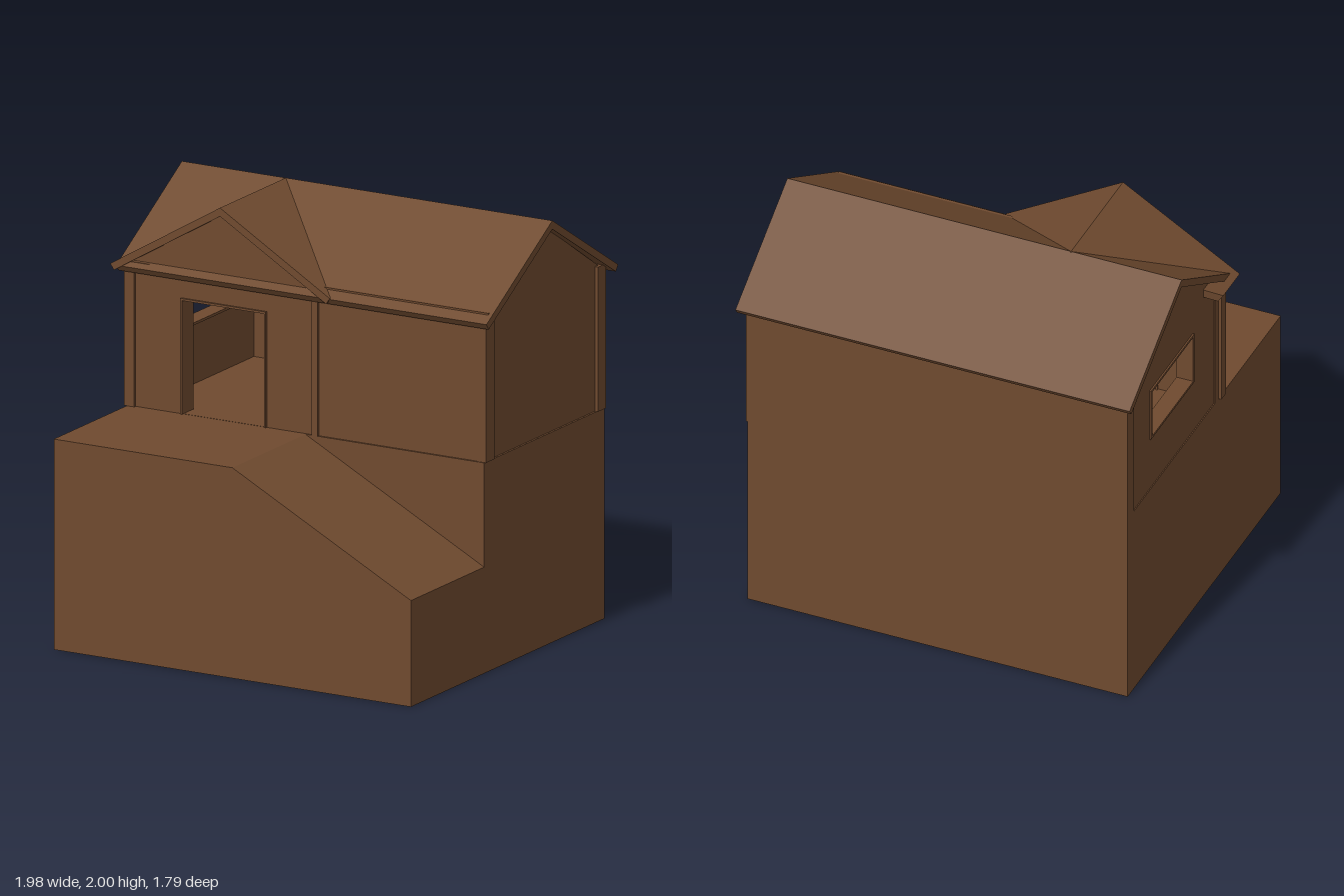
import * as THREE from 'three';

const timber = new THREE.MeshStandardMaterial({ color: 0x6f4a2f });
timber.name = 'brown timber';

const RIDGE_Y = 2, RIDGE_Z = -0.305, PORCH_X = -0.413, PITCH = 0.595, FLOOR = 0.99;

export function createModel() {
  const model = new THREE.Group();
  model.name = 'hillsideHouse';

  const add = (name, geometry) => {
    const mesh = new THREE.Mesh(geometry, timber);
    mesh.name = name;
    model.add(mesh);
    return mesh;
  };
  // box given by its minimum and maximum on each axis
  const box = (name, x0, x1, y0, y1, z0, z1) =>
    add(name, new THREE.BoxGeometry(x1 - x0, y1 - y0, z1 - z0)
      .translate((x0 + x1) / 2, (y0 + y1) / 2, (z0 + z1) / 2));
  const outline = (points) => new THREE.Shape(points.map(([x, y]) => new THREE.Vector2(x, y)));
  const rectHole = (x0, x1, y0, y1) => new THREE.Path([[x0, y0], [x0, y1], [x1, y1], [x1, y0]]
    .map(([x, y]) => new THREE.Vector2(x, y)));
  const slab = (shape, depth) => new THREE.ExtrudeGeometry(shape, { depth, bevelEnabled: false });
  // chevron roof section, centred on the ridge
  const roofSection = (half) => {
    const top = RIDGE_Y - half * PITCH, inner = half - 0.02;
    const low = RIDGE_Y - 0.04 - inner * PITCH;
    return outline([[-half, top], [-inner, low], [0, RIDGE_Y - 0.04], [inner, low], [half, top], [0, RIDGE_Y]]);
  };

  // ground block and sloping terrace
  box('groundBlock', -0.92, 0.96, 0, FLOOR, -0.82, 0.25);
  add('slopedTerrace', slab(outline([[-0.92, 0], [0.96, 0], [0.96, 0.5], [0.02, FLOOR], [-0.92, FLOOR]]), 0.65))
    .position.z = 0.25;

  // front wall with doorway, running up into the porch gable
  const underRoof = RIDGE_Y - 0.035;
  const gableFoot = (underRoof - 1.655) / PITCH;
  const front = outline([[-0.92, FLOOR], [0.955, FLOOR], [0.955, 1.655], [PORCH_X + gableFoot, 1.655],
    [PORCH_X, underRoof], [-0.92, underRoof - (PORCH_X + 0.92) * PITCH]]);
  front.holes.push(rectHole(-0.63, -0.2, FLOOR + 0.001, 1.525));
  add('frontWall', slab(front, 0.08)).position.z = 0.16;
  box('backWall', -0.92, 0.965, FLOOR, 1.66, -0.82, -0.75);

  // door frame
  for (const x of [-0.64, -0.2]) box('doorJamb', x, x + 0.01, FLOOR, 1.535, 0.15, 0.25);
  box('doorHead', -0.64, -0.19, 1.525, 1.535, 0.15, 0.25);

  // end walls: section drawn in z and y, then turned to run along x
  const endWall = (name, x0, windowed) => {
    const eave = underRoof - 0.535 * PITCH;
    // the shape's horizontal axis is -z
    const shape = outline([[-0.24, FLOOR], [0.815, FLOOR], [0.815, eave], [-RIDGE_Z, underRoof], [-0.24, eave]]);
    if (windowed) shape.holes.push(rectHole(0.08, 0.56, 1.28, 1.525));
    add(name, slab(shape, 0.07).rotateY(Math.PI / 2)).position.x = x0;
  };
  endWall('rightEndWall', -0.915, true);
  endWall('leftEndWall', 0.88, false);

  // window frame
  for (const z of [-0.565, -0.09]) box('windowJamb', -0.923, -0.84, 1.27, 1.535, z, z + 0.015);
  for (const y of [1.268, 1.525]) box('windowRail', -0.923, -0.84, y, y + 0.012, -0.565, -0.075);

  // corner boards and front posts
  box('cornerPost', -0.935, -0.88, FLOOR, 1.66, 0.2, 0.253);
  box('frontPost', 0.055, 0.085, FLOOR, 1.66, 0.2, 0.255);
  box('cornerPost', 0.92, 0.967, FLOOR, 1.67, 0.17, 0.245);
  box('cornerPost', 0.92, 0.967, FLOOR, 1.67, -0.82, -0.75);
  box('cornerPost', -0.92, -0.88, FLOOR, 1.66, -0.82, -0.8);

  // main roof
  add('mainRoof', slab(roofSection(0.585), 1.95).rotateY(Math.PI / 2)).position.set(-0.96, 0, RIDGE_Z);

  // porch roof: its back is cut along the valleys of the main roof
  const porch = slab(roofSection(0.578), 1);
  const p = porch.attributes.position;
  for (let i = 0; i < p.count; i++) {
    const x = p.getX(i);
    const back = RIDGE_Z + Math.abs(x) * (x < 0 ? 0.7 : 1) - 0.005;
    p.setZ(i, p.getZ(i) > 0.5 ? 0.28 : Math.min(back, 0.25));
  }
  porch.computeVertexNormals();
  add('porchRoof', porch).position.x = PORCH_X;

  // wall plate showing above the front slope, and the eave return
  box('wallPlate', 0.1, 0.97, 1.64, 1.69, 0.208, 0.23);
  box('eaveReturn', -0.955, -0.8, 1.65, 1.672, 0.2, 0.25);
  return model;
}
